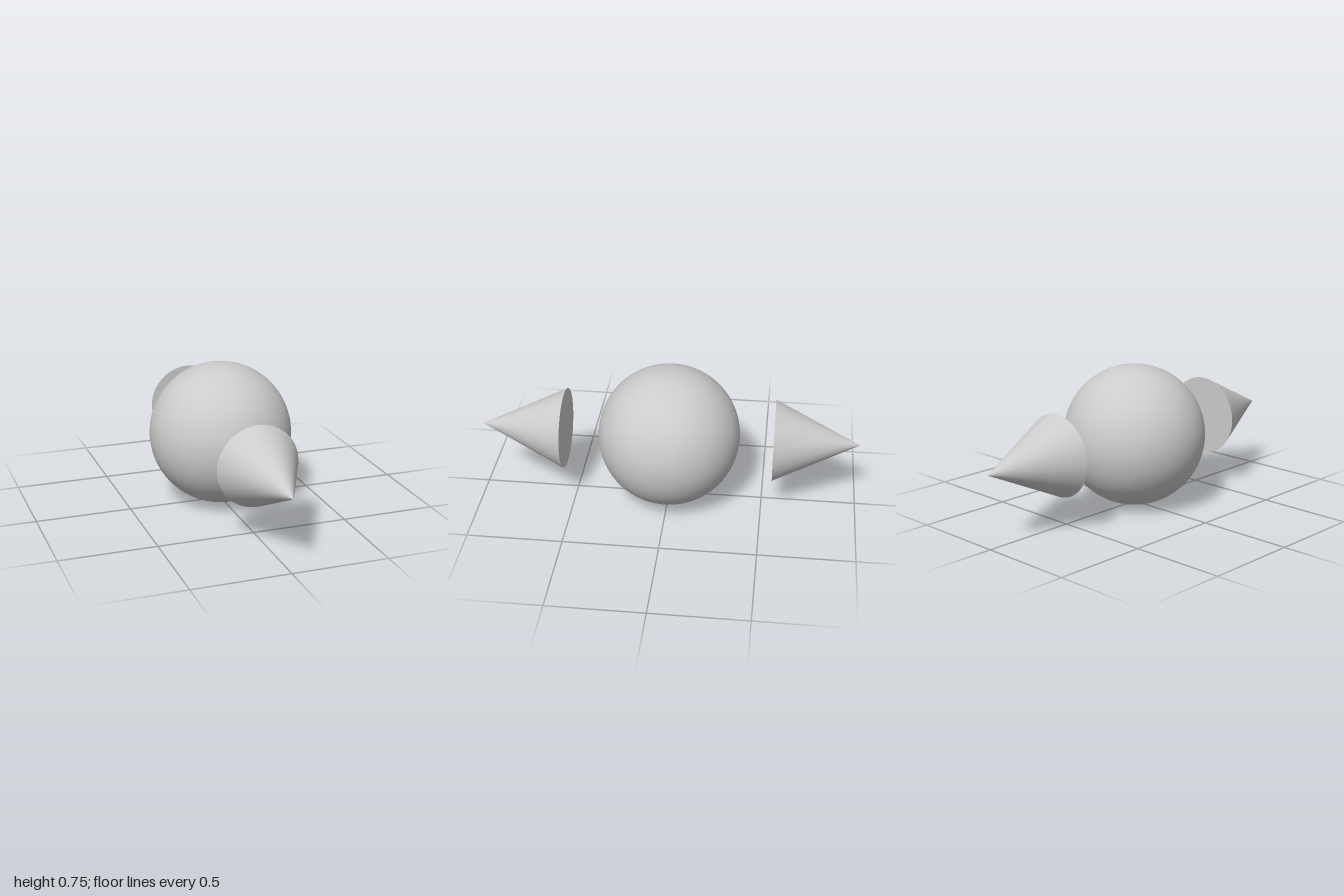
import * as THREE from 'three';

const RADIUS = 0.373;       // central sphere
const CONE_RADIUS = 0.213;
const CONE_BASE = 0.553;    // distance of each cone's base from the centre
const CONE_TIP = 1;

export function createModel() {
  const model = new THREE.Group();
  const material = new THREE.MeshStandardMaterial({ color: 0xcccccc });

  // Central ball resting on the ground
  const ball = new THREE.Mesh(new THREE.SphereGeometry(RADIUS, 96, 64), material);
  ball.name = 'ball';
  ball.position.y = RADIUS;
  model.add(ball);

  // Closed cones pointing outwards, front and back
  const length = CONE_TIP - CONE_BASE;
  const coneGeometry = new THREE.ConeGeometry(CONE_RADIUS, length, 96);
  for (const [name, side] of [['frontCone', 1], ['backCone', -1]]) {
    const cone = new THREE.Mesh(coneGeometry, material);
    cone.name = name;
    cone.rotation.x = side * Math.PI / 2;
    cone.position.set(0, RADIUS, side * (CONE_BASE + length / 2));
    model.add(cone);
  }

  return model;
}
